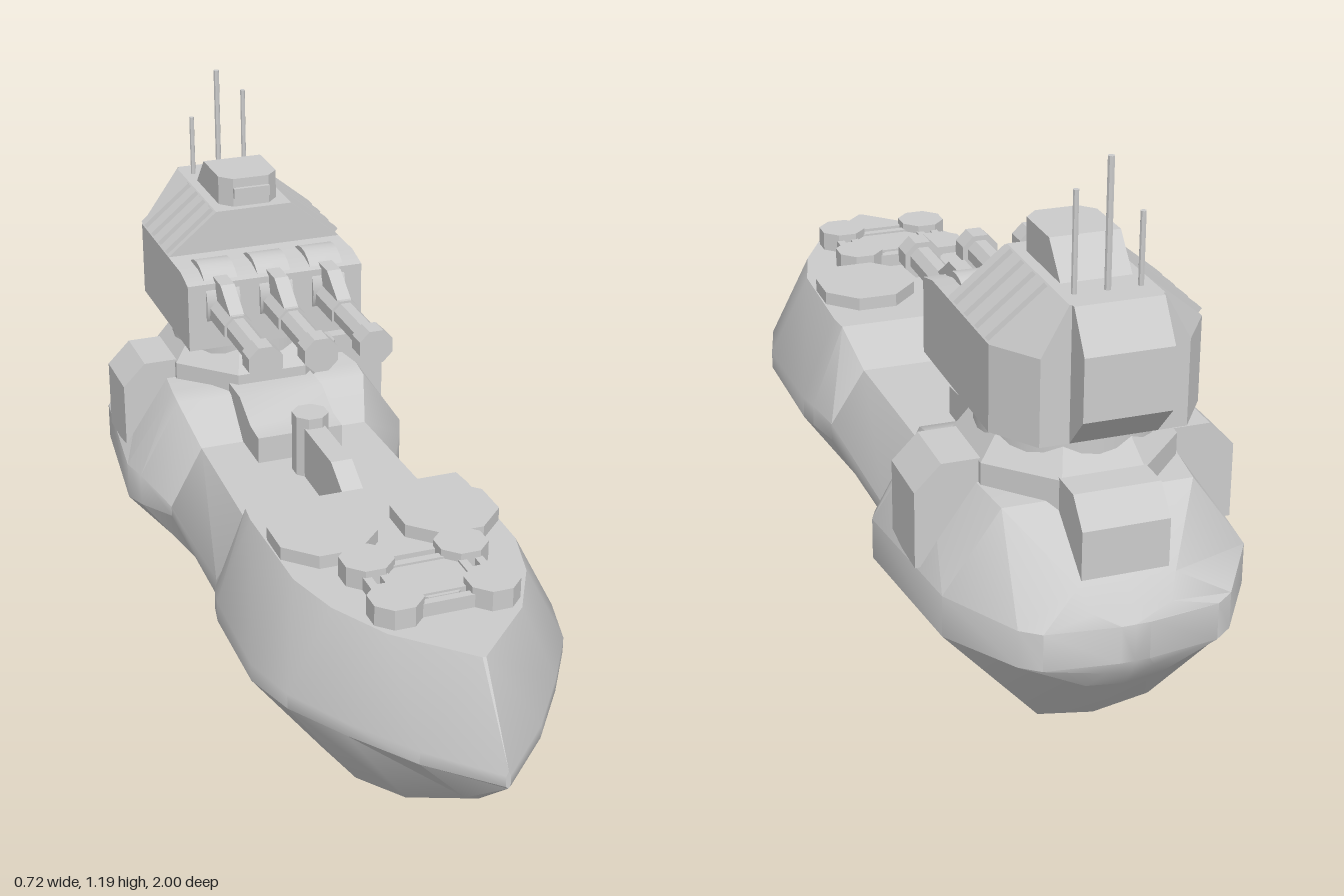
import * as THREE from 'three';
import { toCreasedNormals } from 'three/addons/utils/BufferGeometryUtils.js';
import { ConvexGeometry } from 'three/addons/geometries/ConvexGeometry.js';

const material = new THREE.MeshStandardMaterial({ color: 0xcccccc });

export function createModel() {
  const model = new THREE.Group();

  const add = (name, geo, x = 0, y = 0, z = 0, crease = 0.5) => {
    const mesh = new THREE.Mesh(toCreasedNormals(geo, crease), material);
    mesh.name = name;
    mesh.position.set(x, y, z);
    model.add(mesh);
    return mesh;
  };
  const extrude = (pts, depth) => new THREE.ExtrudeGeometry(
    new THREE.Shape(pts.map(([u, v]) => new THREE.Vector2(u, v))),
    { depth, bevelEnabled: false }).translate(0, 0, -depth / 2);
  // Side profile of [z, y] points, given a width across x
  const sideProfile = (pts, width) => extrude(pts, width).rotateY(-Math.PI / 2);
  // Octagonal drum with flats facing the axes
  const octagon = (r, h) => new THREE.CylinderGeometry(r, r, h, 8).rotateY(Math.PI / 8);

  add('hull', hullGeometry(), 0, 0, 0, 0.6);

  // Foredeck hatches and the cluster of four linked drums
  for (const s of [-1, 1]) {
    add('deckHatch', octagon(0.118, 0.04), s * 0.14, 0.51, 0.34);
    for (const z of [0.51, 0.67]) add('launcherDrum', octagon(0.058, 0.055), s * 0.105, 0.5175, z);
    for (const d of [-0.018, 0.018]) {
      add('launcherSideLink', new THREE.BoxGeometry(0.018, 0.03, 0.12), s * 0.105 + d, 0.515, 0.59);
      add('launcherCrossLink', new THREE.BoxGeometry(0.16, 0.03, 0.018), 0, 0.515, 0.59 + s * 0.08 + d);
    }
  }
  add('launcherHub', octagon(0.085, 0.03), 0, 0.51, 0.59);

  // Midship fin, post and deckhouse
  add('midshipFin', sideProfile([[0.15, 0.4], [0.15, 0.5], [0.08, 0.54], [-0.1, 0.54], [-0.1, 0.4]], 0.05));
  add('midshipPost', octagon(0.043, 0.155), 0, 0.4875, -0.13);
  add('deckhouse', sideProfile(
    [[-0.2, 0.4], [-0.2, 0.48], [-0.26, 0.485], [-0.34, 0.525], [-0.46, 0.525], [-0.46, 0.4]], 0.21));

  // Sponsons either side and the locker at the stern
  for (const s of [-1, 1]) {
    add('sponson', extrude([[0.18, 0.335], [0.34, 0.335], [0.34, 0.5], [0.285, 0.555], [0.18, 0.555]]
      .map(([x, y]) => [s * x, y]), 0.15), 0, 0, -0.615);
  }
  add('sternLocker', sideProfile(
    [[-0.74, 0.38], [-0.74, 0.555], [-0.89, 0.555], [-0.94, 0.5], [-0.94, 0.38]], 0.18));

  // Turret mount
  const collar = [[0, 0.46], [0.225, 0.46], [0.225, 0.55], [0.18, 0.61], [0, 0.61]];
  add('turretCollar', new THREE.LatheGeometry(collar.map(([r, y]) => new THREE.Vector2(r, y)), 8)
    .rotateY(Math.PI / 8), 0, 0, -0.615);
  add('turretRing', new THREE.CylinderGeometry(0.185, 0.185, 0.2, 32), 0, 0.56, -0.615);

  // Turret body, with a tapered back and sloping roof sides
  const corners = (y, list) => list.flatMap(([x, z]) =>
    [new THREE.Vector3(x, y, z), new THREE.Vector3(-x, y, z)]);
  add('turretBody', new ConvexGeometry([
    ...corners(0.65, [[0.217, -0.37], [0.217, -0.77], [0.15, -0.865]]),
    ...corners(0.815, [[0.217, -0.37]]),
    ...corners(0.83, [[0.217, -0.43], [0.217, -0.77], [0.15, -0.865]])]));
  add('turretRoof', new ConvexGeometry([
    ...corners(0.83, [[0.217, -0.53], [0.217, -0.77], [0.15, -0.865]]),
    ...corners(0.93, [[0.095, -0.53], [0.095, -0.865]])]));
  for (const s of [-1, 1]) {
    for (let i = 0; i < 4; i++) {
      const rib = add('roofRib', new THREE.BoxGeometry(0.15, 0.022, 0.028), s * 0.156, 0.88, -0.56 - i * 0.062);
      rib.rotation.z = -s * Math.atan2(0.1, 0.122);
    }
  }
  add('turretBustle', sideProfile(
    [[-0.8, 0.65], [-0.8, 0.93], [-0.875, 0.93], [-0.93, 0.85], [-0.93, 0.72], [-0.865, 0.65]], 0.18));

  // Cupola with clipped front corners and a sloping back
  add('cupola', new ConvexGeometry([
    ...corners(0.92, [[0.045, -0.55], [0.073, -0.58], [0.073, -0.77]]),
    ...corners(1.0, [[0.045, -0.55], [0.073, -0.58], [0.073, -0.7]])]));
  add('cupolaVisor', new THREE.BoxGeometry(0.09, 0.025, 0.02), 0, 0.965, -0.55);

  // Antennas
  for (const [x, top, r] of [[-0.067, 1.077, 0.006], [0, 1.19, 0.007], [0.067, 1.133, 0.006]]) {
    add('antenna', new THREE.CylinderGeometry(r, r, top - 0.91, 8), x, (top + 0.91) / 2, -0.815);
  }

  // Three guns: rounded mantlet, sloped cradle, barrel and muzzle
  for (const x of [-0.132, 0, 0.132]) {
    add('gunMantlet', new THREE.CylinderGeometry(0.085, 0.085, 0.082, 24).rotateZ(Math.PI / 2), x, 0.76, -0.445);
    add('gunCradle', sideProfile(
      [[-0.25, 0.74], [-0.25, 0.77], [-0.33, 0.825], [-0.41, 0.825], [-0.41, 0.74]], 0.034), x);
    for (const [name, r, front, back] of [['gunMuzzle', 0.043, -0.05, -0.1],
      ['gunBarrel', 0.031, -0.1, -0.27], ['gunSleeve', 0.037, -0.25, -0.4]]) {
      add(name, octagon(r, front - back).rotateX(Math.PI / 2), x, 0.743, (front + back) / 2);
    }
  }
  return model;
}

// Hull skin through mirrored cross-sections, bow to stern
function hullGeometry() {
  // z, keel y, bottom half-width and y, side half-width, lower and upper chine y, deck half-width and y
  const stations = [
    [1.0, 0.28, 0, 0.28, 0.005, 0.285, 0.31, 0, 0.32],
    [0.87, 0.165, 0.03, 0.175, 0.13, 0.28, 0.31, 0.004, 0.5],
    [0.73, 0.085, 0.1, 0.095, 0.23, 0.28, 0.31, 0.145, 0.5],
    [0.6, 0.055, 0.16, 0.07, 0.31, 0.28, 0.315, 0.215, 0.5],
    [0.47, 0.05, 0.19, 0.07, 0.345, 0.275, 0.315, 0.25, 0.5],
    [0.2, 0.05, 0.2, 0.07, 0.335, 0.26, 0.31, 0.255, 0.5],
    [0.15, 0.06, 0.195, 0.07, 0.325, 0.26, 0.31, 0.25, 0.5],
    [0.08, 0.06, 0.19, 0.07, 0.3, 0.25, 0.29, 0.22, 0.415],
    [-0.32, 0.01, 0.17, 0.03, 0.29, 0.245, 0.27, 0.21, 0.415],
    [-0.41, 0.005, 0.17, 0.025, 0.34, 0.24, 0.32, 0.24, 0.5],
    [-0.46, 0, 0.17, 0.025, 0.36, 0.24, 0.33, 0.24, 0.51],
    [-0.8, 0, 0.12, 0.02, 0.32, 0.24, 0.33, 0.2, 0.5],
    [-0.95, 0.16, 0.08, 0.17, 0.22, 0.24, 0.32, 0.1, 0.39],
    [-0.98, 0.2, 0.05, 0.21, 0.18, 0.24, 0.32, 0.08, 0.345],
    [-1.0, 0.24, 0, 0.24, 0.03, 0.24, 0.32, 0, 0.32],
  ];
  const n = 10, positions = [], index = [];
  for (const [z, keel, bw, by, w, lo, hi, dw, dy] of stations) {
    const side = [[bw, by], [w, lo], [w, hi], [dw, dy]];
    const ring = [[0, keel], ...side, [0, dy], ...side.map(([x, y]) => [-x, y]).reverse()];
    for (const [x, y] of ring) positions.push(x, y, z);
  }
  const last = (stations.length - 1) * n;
  for (let s = 0; s < last; s += n) {
    for (let j = 0; j < n; j++) {
      const a = s + j, b = s + (j + 1) % n;
      index.push(a, a + n, b, b, a + n, b + n);
    }
  }
  for (let j = 1; j < n - 1; j++) index.push(0, j, j + 1, last, last + j + 1, last + j);
  const geo = new THREE.BufferGeometry();
  geo.setAttribute('position', new THREE.Float32BufferAttribute(positions, 3));
  geo.setIndex(index);
  return geo;
}
